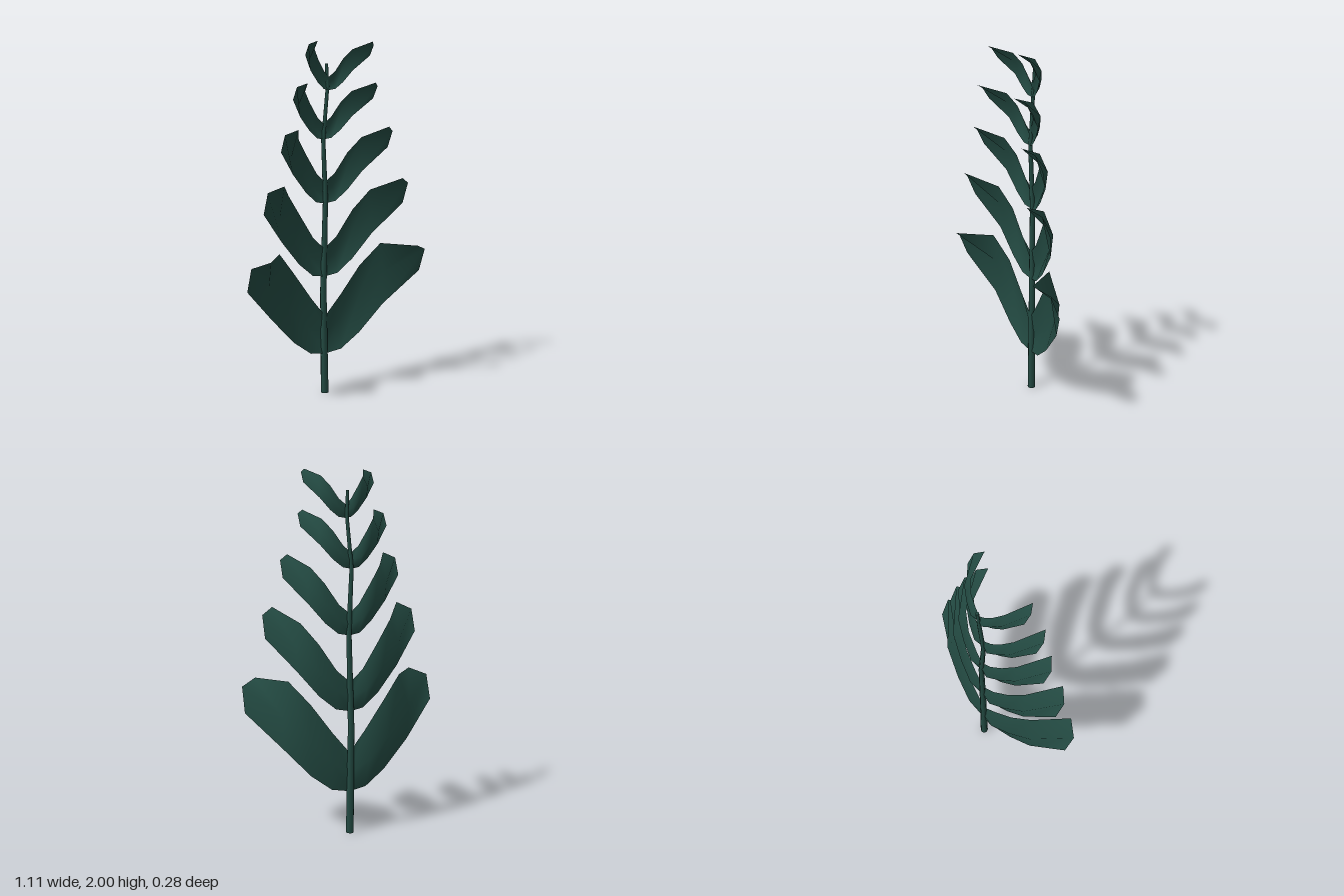
import * as THREE from 'three';

const green = new THREE.MeshStandardMaterial({ color: 0x234a42, side: THREE.DoubleSide });

// Unit leaf, from stem to tip: [x, y, forward curl] along each edge
const LOWER = [[0, 0, 0], [0.18, 0.025, 0.04], [0.39, 0.16, 0.09], [0.66, 0.41, 0.18], [1, 0.72, 0.56]];
const UPPER = [[0, 0.28, 0], [0.17, 0.39, 0.04], [0.39, 0.65, 0.1], [0.59, 0.85, 0.29], [0.84, 1, 1]];
// Midrib curl (cupped backwards near the stem) and extra fullness of the upper edge
const RIB = [-0.04, -0.13, -0.04, 0.13, 0.78];
const FULL = [0.07, 0.14, 0.14, 0.14, -0.01];

// One leaf as a sheet of three rows: lower edge, midrib, upper edge
function leafGeometry(side, { w, h, z, reach, full }) {
  const pos = [], index = [];
  for (let i = 0; i < 5; i++) {
    const lo = LOWER[i];
    const up = [UPPER[i][0], UPPER[i][1] + FULL[i] * full, UPPER[i][2]];
    const mid = i === 4
      ? [1, 0.935, RIB[i]]
      : [(lo[0] + up[0]) / 2 + 0.015 * i, (lo[1] + up[1]) / 2, RIB[i]];
    for (const p of [lo, mid, up]) pos.push(side * p[0] * w, p[1] * h, z + p[2] * reach);
    if (i === 4) continue;
    for (let r = 0; r < 2; r++) {
      const a = i * 3 + r, b = a + 3;
      if (side > 0) index.push(a, b, b + 1, a, b + 1, a + 1);
      else index.push(a, b + 1, b, a, a + 1, b + 1);
    }
  }
  const g = new THREE.BufferGeometry();
  g.setAttribute('position', new THREE.Float32BufferAttribute(pos, 3));
  g.setIndex(index);
  g.computeVertexNormals();
  return g;
}

// Slightly crooked tapering stem: [x, y, z, radius], bottom to top
function stemGeometry() {
  const path = [
    [0, 0, -0.117, 0.023], [-0.006, 0.6, -0.12, 0.019], [0.005, 1.13, -0.113, 0.015],
    [-0.012, 1.47, -0.107, 0.012], [0.016, 1.76, -0.107, 0.01], [0.014, 1.885, -0.115, 0.009],
  ];
  const g = new THREE.CylinderGeometry(1, 1, 1, 8, path.length - 1);
  const p = g.attributes.position;
  for (let i = 0; i < p.count; i++) {
    const [x, y, z, r] = path[Math.round((p.getY(i) + 0.5) * (path.length - 1))];
    p.setXYZ(i, x + p.getX(i) * r, y, z + p.getZ(i) * r);
  }
  return g;
}

export function createModel() {
  const plant = new THREE.Group();
  plant.name = 'plant';

  const stem = new THREE.Mesh(stemGeometry(), green);
  stem.name = 'stem';
  plant.add(stem);

  // Leaf pairs from the bottom up
  const pairs = [
    { x: 0, y: 0.235, w: 0.553, h: 0.635, z: -0.11, reach: 0.25, full: 1 },
    { x: -0.005, y: 0.69, w: 0.442, h: 0.565, z: -0.11, reach: 0.235, full: 0.1 },
    { x: 0, y: 1.11, w: 0.337, h: 0.432, z: -0.108, reach: 0.216, full: 0 },
    { x: -0.014, y: 1.47, w: 0.25, h: 0.312, z: -0.1, reach: 0.205, full: 0 },
    { x: 0.02, y: 1.74, w: 0.202, h: 0.26, z: -0.098, reach: 0.178, full: 0 },
  ];
  pairs.forEach((pair, i) => {
    const group = new THREE.Group();
    group.name = `leafPair${i + 1}`;
    group.position.set(pair.x, pair.y, 0);
    for (const side of [1, -1]) {
      const leaf = new THREE.Mesh(leafGeometry(side, pair), green);
      leaf.name = side > 0 ? 'leftLeaf' : 'rightLeaf';
      group.add(leaf);
    }
    plant.add(group);
  });
  return plant;
}
